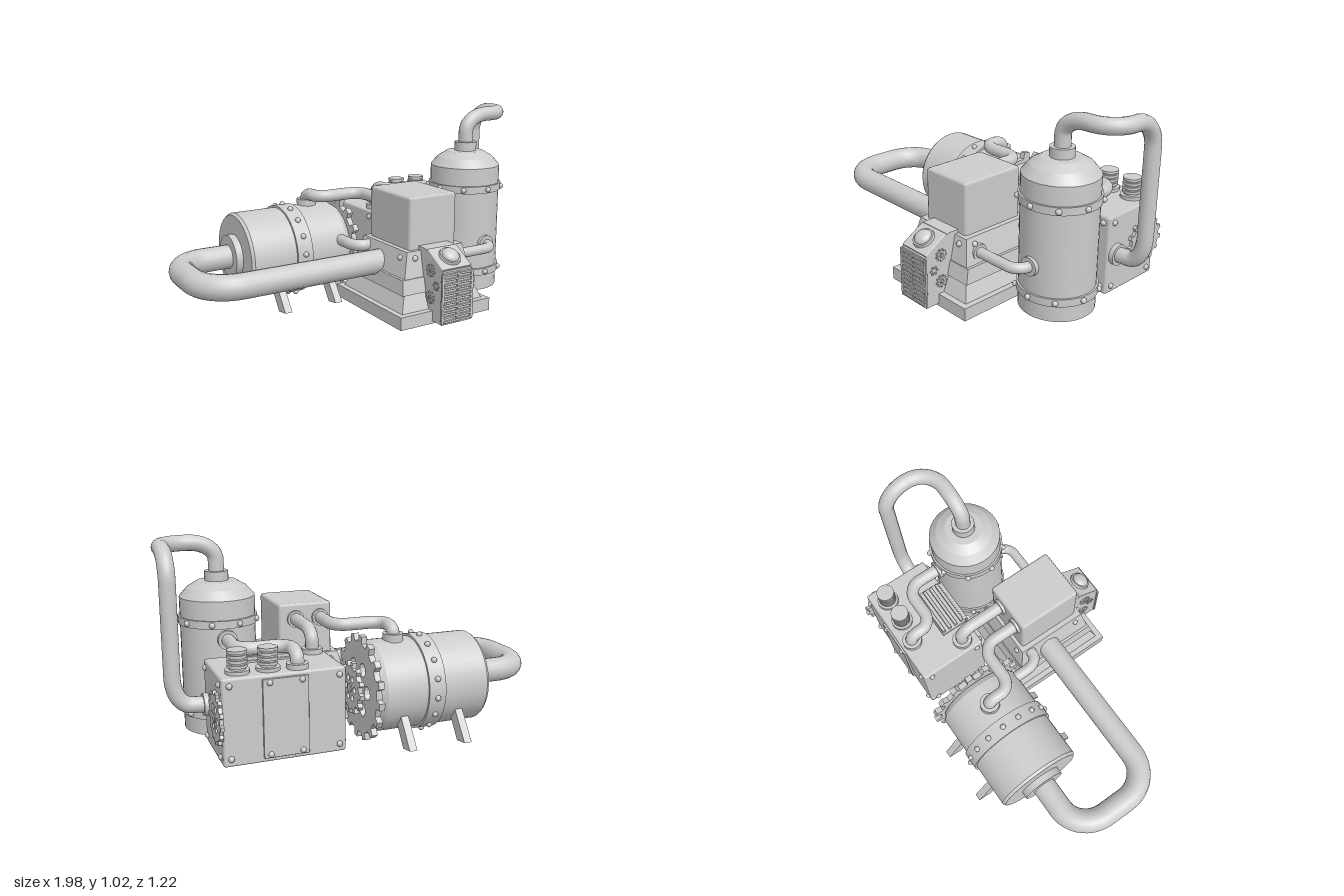
import * as THREE from 'three';
import { toCreasedNormals } from 'three/addons/utils/BufferGeometryUtils.js';
import { RoundedBoxGeometry } from 'three/addons/geometries/RoundedBoxGeometry.js';

const mat = new THREE.MeshStandardMaterial({ color: 0xcccccc });
const V = (p) => new THREE.Vector3(...p);

export function createModel() {
  const root = new THREE.Group();

  const add = (name, geo, pos = [0, 0, 0], rot = [0, 0, 0], parent = root) => {
    const m = new THREE.Mesh(geo, mat);
    m.name = name;
    m.position.set(...pos);
    m.rotation.set(...rot);
    parent.add(m);
    return m;
  };
  const group = (name) => {
    const g = new THREE.Group();
    g.name = name;
    root.add(g);
    return g;
  };
  const box = (name, size, pos, parent, r = 0.008) =>
    add(name, new RoundedBoxGeometry(...size, 1, r), pos, [0, 0, 0], parent);
  // Disc whose axis runs along 'x', 'y' or 'z'
  const disc = (name, r, h, pos, axis = 'y', parent = root, seg = 28) =>
    add(name, new THREE.CylinderGeometry(r, r, h, seg), pos,
      axis === 'x' ? [0, 0, -Math.PI / 2] : axis === 'z' ? [Math.PI / 2, 0, 0] : [0, 0, 0], parent);
  const boltGeo = new THREE.SphereGeometry(0.015, 10, 8);
  const bolt = (pos, parent) => add('bolt', boltGeo, pos, [0, 0, 0], parent);

  // Pipe along straight runs joined by rounded corners
  const pipe = (name, points, r, bend) => {
    const p = points.map(V), path = new THREE.CurvePath();
    let last = p[0];
    for (let i = 1; i < p.length - 1; i++) {
      const back = p[i - 1].clone().sub(p[i]), fwd = p[i + 1].clone().sub(p[i]);
      const a = p[i].clone().addScaledVector(back.clone().normalize(), Math.min(bend, back.length() * 0.49));
      const b = p[i].clone().addScaledVector(fwd.clone().normalize(), Math.min(bend, fwd.length() * 0.49));
      const ka = a.clone().lerp(p[i], 0.56), kb = b.clone().lerp(p[i], 0.56);
      path.add(new THREE.LineCurve3(last, a));
      path.add(new THREE.CubicBezierCurve3(a, ka, kb, b));
      last = b;
    }
    path.add(new THREE.LineCurve3(last, p[p.length - 1]));
    return add(name, new THREE.TubeGeometry(path, 72, r, 16), [0, 0, 0]);
  };

  // Toothed wheel facing +x, with a ring of round holes
  const gear = (name, r, tooth, teeth, thick, pos, parent = root, holes = 6) => {
    const s = new THREE.Shape();
    for (let i = 0; i < teeth; i++) {
      [[0, 0], [0.5, 0], [0.58, 1], [0.92, 1]].forEach(([t, out], k) => {
        const a = ((i + t) / teeth) * Math.PI * 2, q = r + out * tooth;
        s[i + k ? 'lineTo' : 'moveTo'](Math.cos(a) * q, Math.sin(a) * q);
      });
    }
    s.closePath();
    for (let i = 0; i < holes; i++) {
      const a = (i / holes) * Math.PI * 2;
      const h = new THREE.Path();
      h.absarc(Math.cos(a) * r * 0.5, Math.sin(a) * r * 0.5, r * 0.15, 0, Math.PI * 2, true);
      s.holes.push(h);
    }
    const geo = new THREE.ExtrudeGeometry(s, { depth: thick, bevelEnabled: false, curveSegments: 6 });
    geo.translate(0, 0, -thick / 2);
    add(name, geo, pos, [0, Math.PI / 2, 0], parent);
    disc(name + 'Hub', r * 0.22, thick * 1.4, pos, 'x', parent, 12);
  };

  const lathe = (pts) => toCreasedNormals(
    new THREE.LatheGeometry(pts.map(([x, y]) => new THREE.Vector2(x, y)), 40), 0.25);

  // Block whose top is scaled in from its bottom
  const frustum = (name, w, d, topW, topD, y0, y1, x, z, parent) => {
    const g = new THREE.BoxGeometry(w, y1 - y0, d), p = g.attributes.position;
    for (let i = 0; i < p.count; i++) {
      if (p.getY(i) > 0) p.setXYZ(i, p.getX(i) * topW / w, p.getY(i), p.getZ(i) * topD / d);
    }
    g.computeVertexNormals();
    return add(name, g, [x, (y0 + y1) / 2, z], [0, 0, 0], parent);
  };

  // Upright tank with banded rims
  const tank = group('uprightTank');
  const [tx, tz] = [0.65, 0.084];
  add('tankBody', lathe([[0, 0.025], [0.19, 0.025], [0.19, 0.71], [0.15, 0.755], [0.1, 0.785], [0, 0.79]]),
    [tx, 0, tz], [0, 0, 0], tank);
  disc('tankNeck', 0.06, 0.06, [tx, 0.805, tz], 'y', tank);
  for (const y of [0.13, 0.595]) {
    disc('tankBand', 0.2, 0.04, [tx, y, tz], 'y', tank, 40);
    for (let i = 0; i < 9; i++) {
      const a = (i / 9) * Math.PI * 2 + 0.18;
      bolt([tx + Math.cos(a) * 0.203, y, tz + Math.sin(a) * 0.203], tank);
    }
  }

  // Lying boiler with band, end wheels and splayed feet
  const boiler = group('boiler');
  const [by, bz] = [0.265, -0.3];
  add('boilerBody', lathe([[0, -0.59], [0.222, -0.59], [0.233, -0.575], [0.233, -0.03], [0.215, 0], [0, 0]]),
    [0, by, bz], [0, 0, -Math.PI / 2], boiler);
  disc('boilerBand', 0.245, 0.09, [-0.29, by, bz], 'x', boiler, 40);
  for (let i = 0; i < 16; i++) {
    const a = (i / 16) * Math.PI * 2 + 0.1;
    bolt([-0.29, by + Math.sin(a) * 0.247, bz + Math.cos(a) * 0.247], boiler);
  }
  disc('boilerEndFlange', 0.115, 0.06, [-0.597, by + 0.005, bz], 'x', boiler);
  disc('boilerTopFitting', 0.052, 0.05, [-0.15, 0.505, -0.31], 'y', boiler);
  gear('largeGear', 0.235, 0.035, 16, 0.03, [0.02, by, bz], boiler);
  gear('smallGear', 0.11, 0.025, 12, 0.025, [0.065, by, bz], boiler);
  for (const x of [-0.43, -0.13]) {
    for (const s of [-1, 1]) {
      const foot = new THREE.Shape([[0.235, 0], [0.31, 0.012], [0.2, 0.16], [0.12, 0.16]]
        .map(([a, b]) => new THREE.Vector2(bz + a * s, b)));
      const g = new THREE.ExtrudeGeometry(foot, { depth: 0.04, bevelEnabled: false });
      add('foot', g.translate(0, 0, -0.02), [x, 0, 0], [0, -Math.PI / 2, 0], boiler);
    }
  }

  // Rear gearbox
  const gb = group('gearbox');
  box('gearboxBody', [0.595, 0.42, 0.375], [0.478, 0.235, -0.323], gb, 0.012);
  for (const y of [0.065, 0.41]) {
    for (const x of [0.215, 0.74]) for (const z of [-0.512, -0.135]) bolt([x, y, z], gb);
    for (const z of [-0.465, -0.175]) for (const x of [0.18, 0.776]) bolt([x, y, z], gb);
    for (const x of [0.4, 0.555]) bolt([x, y, -0.52], gb);
  }
  box('rearHatch', [0.22, 0.38, 0.02], [0.478, 0.237, -0.512], gb, 0.004);
  gear('sideGear', 0.11, 0.018, 13, 0.018, [0.783, 0.24, -0.42], gb);
  disc('sideFlange', 0.055, 0.03, [0.785, 0.235, -0.2], 'x', gb);
  for (const x of [0.535, 0.68]) {
    disc('capStem', 0.038, 0.11, [x, 0.49, -0.425], 'y', gb);
    disc('capFoot', 0.057, 0.02, [x, 0.452, -0.425], 'y', gb);
    for (const y of [0.48, 0.503, 0.526, 0.548]) disc('capRib', 0.047, 0.014, [x, y, -0.425], 'y', gb);
  }
  box('ventFrame', [0.28, 0.11, 0.15], [0.47, 0.4, -0.215], gb, 0.004);
  for (let i = 0; i < 4; i++) {
    box('ventSlat', [0.26, 0.024, 0.018], [0.47, 0.46, -0.275 + i * 0.038], gb, 0.003);
    box('ventSlat', [0.26, 0.014, 0.02], [0.47, 0.365 + i * 0.028, -0.135], gb, 0.003);
  }
  disc('topFlange', 0.052, 0.03, [0.4, 0.455, -0.445], 'y', gb);
  disc('topFlange', 0.052, 0.03, [0.25, 0.455, -0.22], 'y', gb);

  // Stepped central machine
  const mc = group('centralMachine');
  const [mx, mz] = [0.195, 0.22];
  frustum('basePlate', 0.56, 0.615, 0.56, 0.615, 0.016, 0.083, mx, mz, mc);
  frustum('lowerStep', 0.5, 0.55, 0.43, 0.48, 0.083, 0.17, mx, mz, mc);
  frustum('middleStep', 0.46, 0.5, 0.44, 0.465, 0.165, 0.24, mx, mz, mc);
  frustum('upperStep', 0.41, 0.455, 0.345, 0.4, 0.24, 0.37, mx, mz, mc);
  box('upperHousing', [0.29, 0.31, 0.36], [mx, 0.485, mz], mc, 0.015);
  for (const s of [-1, 1]) {
    for (const t of [-1, 1]) {
      bolt([mx + s * 0.13, 0.335, mz + t * 0.208], mc);
      bolt([mx + s * 0.182, 0.335, mz + t * 0.155], mc);
    }
  }

  // Front control unit with grille, button and side wheels
  const cu = group('controlUnit');
  const side = new THREE.Shape([[0.4, 0.03], [0.605, 0.03], [0.605, 0.3], [0.46, 0.388], [0.4, 0.388]]
    .map(([z, y]) => new THREE.Vector2(z, y)));
  add('controlCase', new THREE.ExtrudeGeometry(side, { depth: 0.18, bevelEnabled: false }).translate(0, 0, -0.09),
    [mx, 0, 0], [0, -Math.PI / 2, 0], cu);
  for (const dx of [-0.09, 0, 0.09]) {
    box('grillePost', [dx ? 0.016 : 0.01, 0.26, 0.012], [mx + dx, 0.165, 0.606], cu, 0.003);
  }
  for (let i = 0; i < 11; i++) box('grilleSlat', [0.17, 0.012, 0.014], [mx, 0.045 + i * 0.024, 0.606], cu, 0.003);
  const slope = Math.atan2(0.145, 0.088) - Math.PI / 2;
  const plate = add('buttonPlate', new RoundedBoxGeometry(0.18, 0.014, 0.15, 1, 0.004),
    [mx, 0.346, 0.535], [-slope, 0, 0], cu);
  add('buttonCollar', new THREE.CylinderGeometry(0.054, 0.058, 0.016, 24), [0, 0.012, 0], [0, 0, 0], plate);
  add('button', new THREE.SphereGeometry(0.046, 24, 8, 0, Math.PI * 2, 0, Math.PI / 2).scale(1, 0.6, 1),
    [0, 0.018, 0], [0, 0, 0], plate);
  for (const s of [-1, 1]) {
    for (const y of [0.15, 0.29]) gear('sideWheel', 0.024, 0.008, 9, 0.012, [mx + s * 0.093, y, 0.512], cu);
    for (let i = 0; i < 6; i++) {
      const a = (i / 6) * Math.PI * 2;
      disc('sideStud', 0.006, 0.01, [mx + s * 0.091, 0.22 + Math.sin(a) * 0.018, 0.555 + Math.cos(a) * 0.018], 'x', cu, 8);
    }
  }

  // Connecting pipes
  pipe('boilerLoopPipe', [[-0.6, 0.27, -0.3], [-0.935, 0.27, -0.3], [-0.935, 0.27, 0.188], [0.1, 0.27, 0.188]], 0.064, 0.18);
  pipe('tallPipe', [[tx, 0.8, tz], [tx, 0.98, tz], [0.945, 0.98, tz], [0.94, 0.98, -0.2],
    [0.94, 0.245, -0.2], [0.77, 0.235, -0.2]], 0.04, 0.14);
  pipe('tankToGearboxPipe', [[0.4, 0.44, -0.445], [0.4, 0.52, -0.445], [0.4, 0.52, -0.31],
    [0.648, 0.52, -0.31], [0.648, 0.52, -0.05]], 0.033, 0.08);
  pipe('boilerToHousingPipe', [[-0.15, 0.5, -0.31], [-0.15, 0.56, -0.31], [-0.15, 0.56, -0.175],
    [0.115, 0.56, -0.175], [0.115, 0.56, 0.06]], 0.033, 0.08);
  pipe('gearboxToHousingPipe', [[0.25, 0.44, -0.22], [0.25, 0.56, -0.22], [0.25, 0.56, 0.06]], 0.033, 0.08);
  pipe('boilerToBasePipe', [[-0.06, 0.33, -0.12], [-0.06, 0.33, 0.07], [0.06, 0.33, 0.07]], 0.03, 0.08);
  pipe('tankFeedPipe', [[0.33, 0.29, 0.355], [tx, 0.29, 0.355], [tx, 0.29, 0.2]], 0.027, 0.07);
  disc('feedFlange', 0.047, 0.04, [tx, 0.29, 0.27], 'z');
  disc('feedFlange', 0.042, 0.04, [0.375, 0.29, 0.355], 'x');
  disc('tankRearFlange', 0.048, 0.03, [0.648, 0.52, -0.108], 'z');
  disc('housingFlange', 0.045, 0.02, [0.115, 0.56, 0.035], 'z');
  disc('housingFlange', 0.045, 0.02, [0.25, 0.56, 0.035], 'z');

  return root;
}
